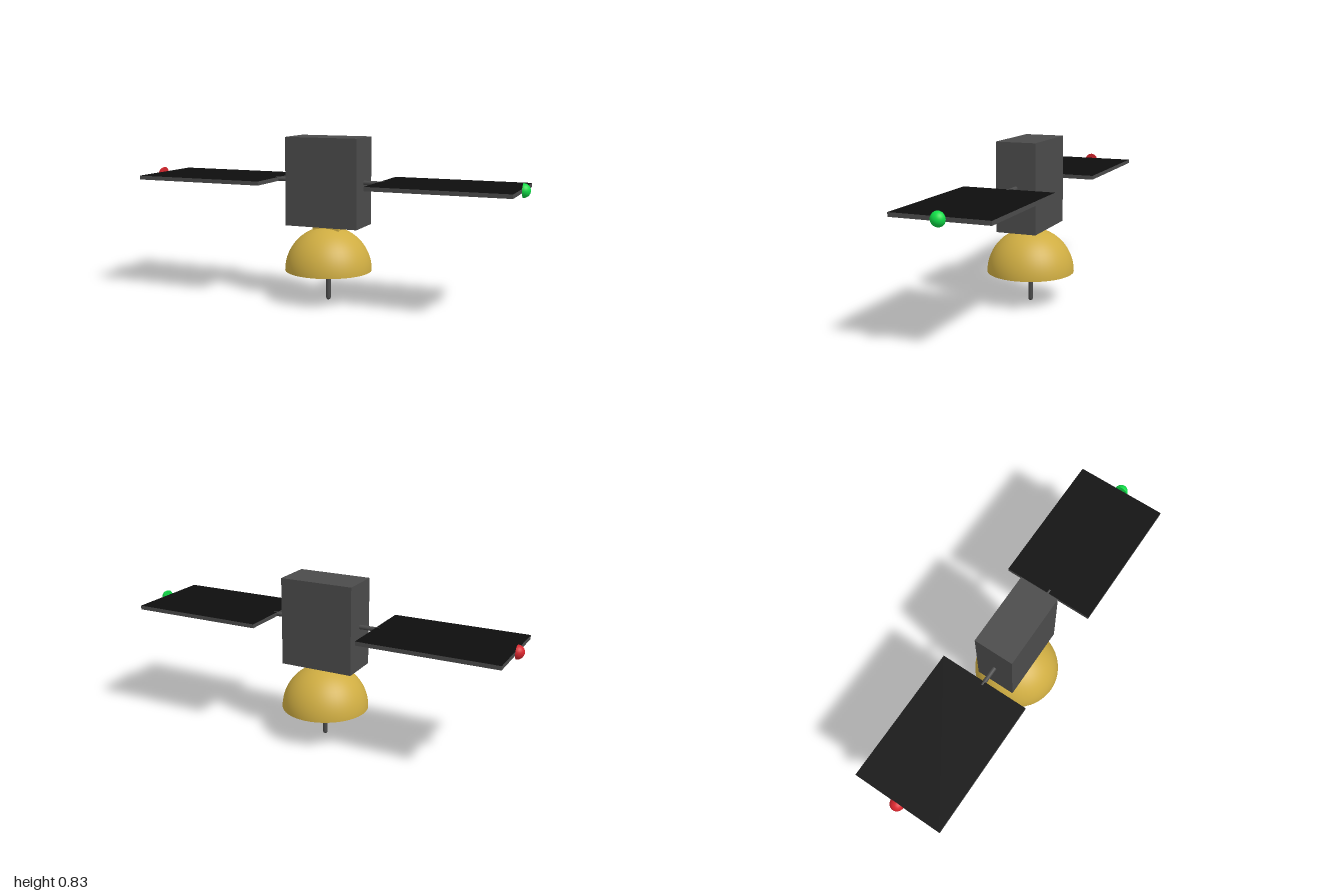
import * as THREE from 'three';

export function createModel() {
  const model = new THREE.Group();
  model.name = 'satellite';

  const paint = (name, color) => {
    const m = new THREE.MeshStandardMaterial({ color });
    m.name = name;
    return m;
  };
  const grey = paint('dark grey', 0x4b4b4b);
  const black = paint('panel black', 0x0e0e0e);
  const gold = paint('gold', 0xcfad42);
  const green = paint('signal green', 0x10de48);
  const red = paint('signal red', 0xd8262e);

  const add = (name, geometry, material, x = 0, y = 0, z = 0) => {
    const mesh = new THREE.Mesh(geometry, material);
    mesh.name = name;
    mesh.position.set(x, y, z);
    model.add(mesh);
    return mesh;
  };

  // Body and the neck that joins it to the dish
  add('body', new THREE.BoxGeometry(0.38, 0.443, 0.204), grey, 0, 0.6085, 0);
  add('neck', new THREE.BoxGeometry(0.14, 0.04, 0.08), gold, 0, 0.369, 0);

  // Dish: outer shell, flat rim and inner bowl, opening downwards
  const rimY = 0.157, outer = 0.22, inner = 0.193;
  add('dishOuter', new THREE.SphereGeometry(outer, 48, 16, 0, Math.PI * 2, 0, Math.PI / 2), gold, 0, rimY, 0);
  const bowl = new THREE.SphereGeometry(inner, 48, 16, 0, Math.PI * 2, 0, Math.PI / 2);
  const bowlMaterial = gold.clone();
  bowlMaterial.name = 'gold inside';
  bowlMaterial.side = THREE.DoubleSide;
  add('dishInner', bowl, bowlMaterial, 0, rimY, 0);
  add('dishRim', new THREE.RingGeometry(inner, outer, 48), gold, 0, rimY, 0).rotation.x = Math.PI / 2;

  // Antenna rod with a rounded tip
  add('antenna', new THREE.CapsuleGeometry(0.012, 0.33, 6, 16), grey, 0, 0.177, 0);

  // Half-dome lamp, closed at its flat back
  const lampProfile = [new THREE.Vector2(0, 0), new THREE.Vector2(0.034, 0), new THREE.Vector2(0.034, 0)];
  for (let i = 1; i <= 10; i++) {
    const a = (i / 10) * Math.PI / 2;
    lampProfile.push(new THREE.Vector2(Math.cos(a) * 0.034, Math.sin(a) * 0.034));
  }
  const lamp = new THREE.LatheGeometry(lampProfile, 24);

  // Strut, solar panel and lamp on each side
  const panelFaces = [grey, grey, black, black, grey, grey];
  for (const [side, s, lampColour] of [['left', 1, green], ['right', -1, red]]) {
    add(side + 'Strut', new THREE.CylinderGeometry(0.011, 0.011, 0.12, 16), grey, s * 0.235, 0.608, 0)
      .rotation.z = Math.PI / 2;
    add(side + 'Panel', new THREE.BoxGeometry(0.69, 0.02, 0.468), panelFaces, s * 0.62, 0.608, 0);
    add(side + 'Lamp', lamp, lampColour, s * 0.966, 0.608, 0).rotation.z = -s * Math.PI / 2;
  }

  return model;
}
